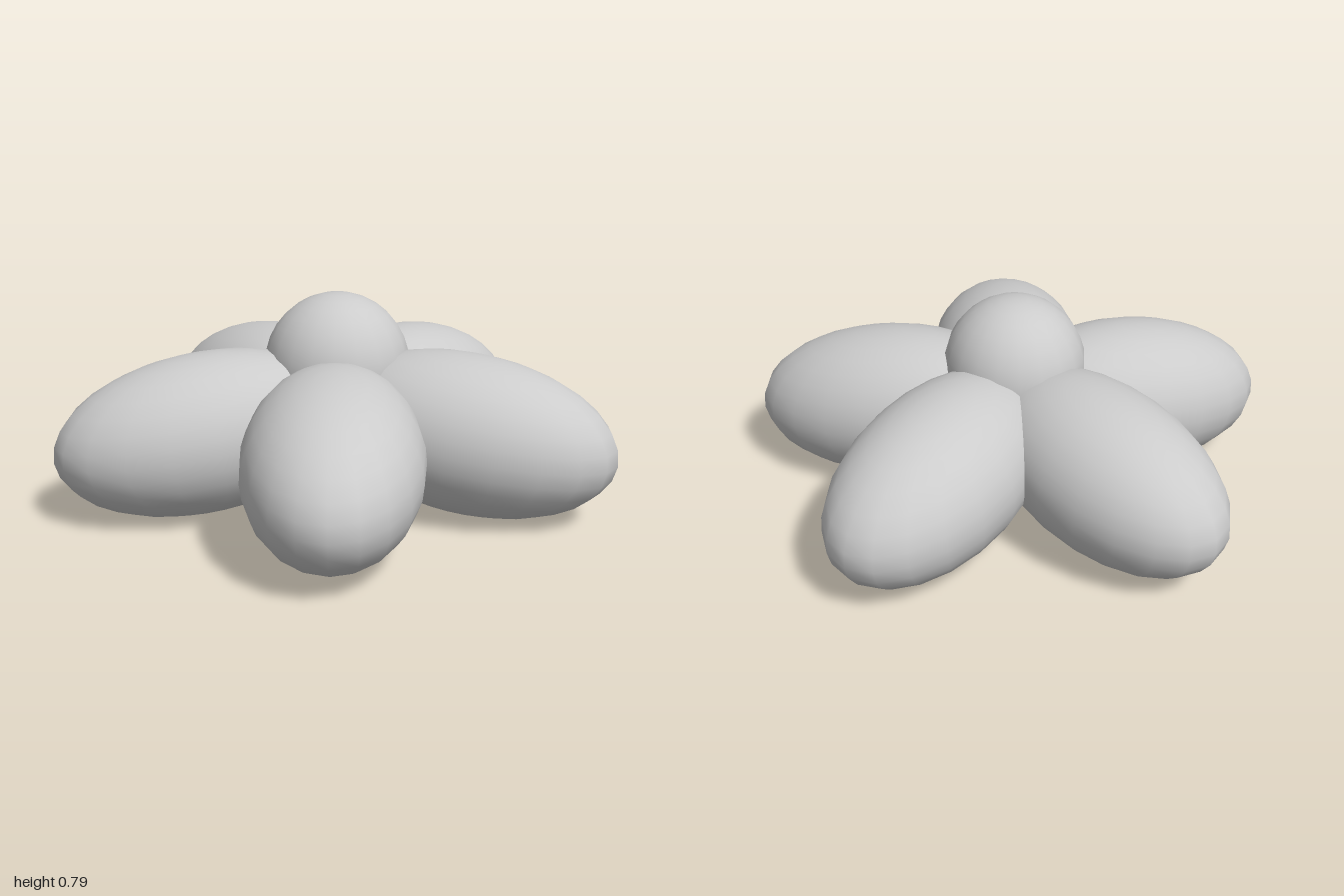
import * as THREE from 'three';

export function createModel() {
  const model = new THREE.Group();
  const material = new THREE.MeshStandardMaterial({ color: 0xcccccc });
  const sphere = new THREE.SphereGeometry(1, 20, 16);

  // Flower axis sits slightly off the middle, so the five petals are centred overall
  const flower = new THREE.Group();
  flower.name = 'flower';
  flower.position.x = -0.088;
  model.add(flower);

  // Round centre
  const centre = new THREE.Mesh(sphere, material);
  centre.name = 'flowerCentre';
  centre.scale.setScalar(0.27);
  centre.position.y = 0.52;
  flower.add(centre);

  // Five long petals, each drooping a little towards its tip
  for (let i = 0; i < 5; i++) {
    const arm = new THREE.Group();
    arm.name = `petal${i + 1}`;
    arm.rotation.y = (i * Math.PI * 2) / 5;

    const petal = new THREE.Mesh(sphere, material);
    petal.name = 'petalBody';
    petal.scale.set(0.553, 0.292, 0.316);
    petal.position.set(0.5, 0.3, 0);
    petal.rotation.z = -0.13;
    arm.add(petal);
    flower.add(arm);
  }
  return model;
}
